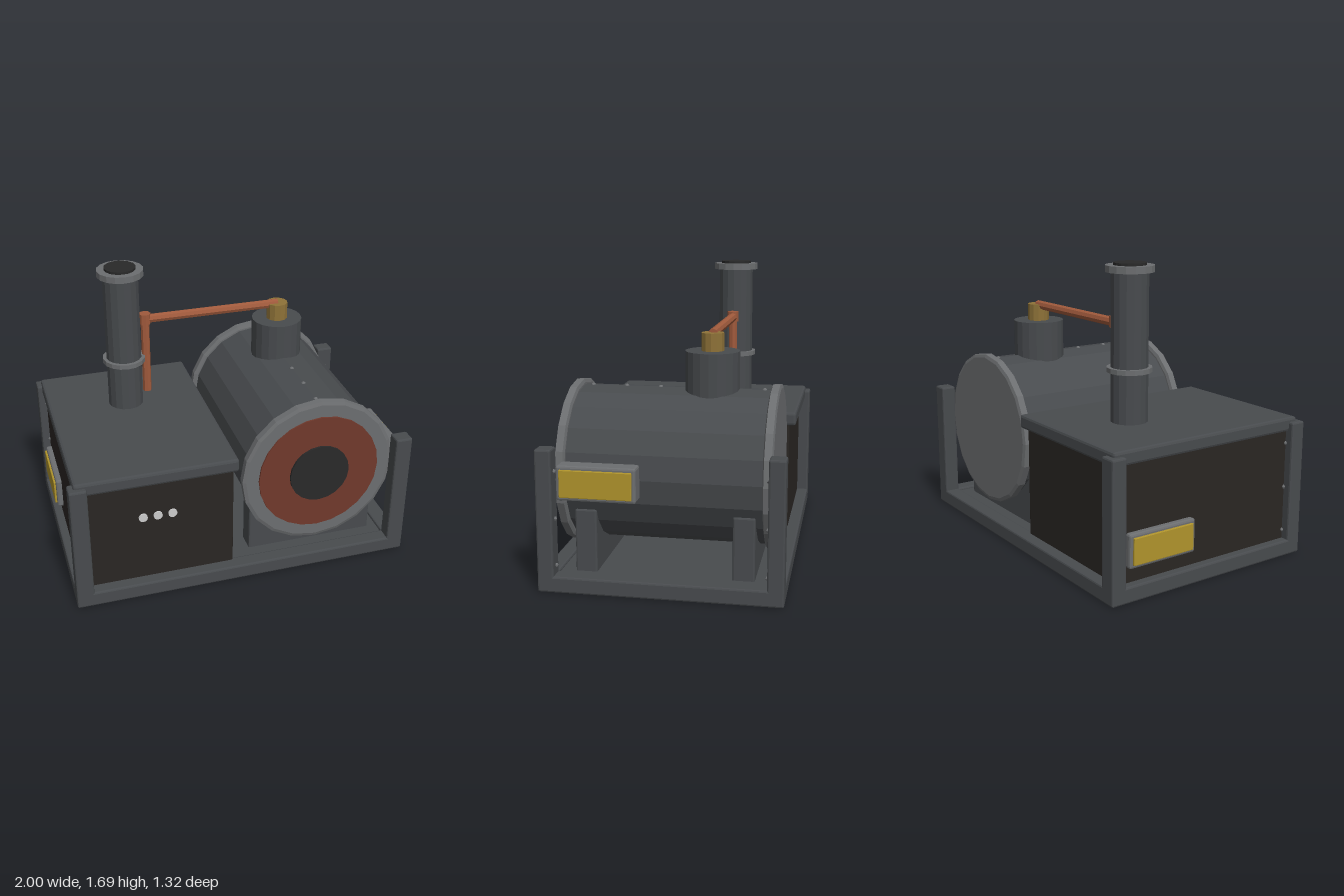
import * as THREE from 'three';
import { RoundedBoxGeometry } from 'three/addons/geometries/RoundedBoxGeometry.js';

const paint = (color) => new THREE.MeshStandardMaterial({ color, flatShading: true });
const iron = paint(0x484b4e), steel = paint(0x6c6e70), dark = paint(0x2a2623), black = paint(0x292929);
const copper = paint(0xa05a3c), brass = paint(0x8e7238), red = paint(0x71392c);
const yellow = paint(0xb0942c), lampWhite = paint(0xcccccc);

export function createModel() {
  const model = new THREE.Group();

  const add = (name, geometry, material, x = 0, y = 0, z = 0) => {
    const mesh = new THREE.Mesh(geometry, material);
    mesh.name = name;
    mesh.position.set(x, y, z);
    model.add(mesh);
    return mesh;
  };
  // Bevelled box given by its limits on each axis
  const box = (name, material, [x0, x1], [y0, y1], [z0, z1], bevel = 0.01) =>
    add(name, new RoundedBoxGeometry(x1 - x0, y1 - y0, z1 - z0, 1, bevel), material,
      (x0 + x1) / 2, (y0 + y1) / 2, (z0 + z1) / 2);
  // Upright cylinder between two heights
  const column = (name, material, x, z, r, y0, y1, sides = 16) =>
    add(name, new THREE.CylinderGeometry(r, r, y1 - y0, sides), material, x, (y0 + y1) / 2, z);
  // Cylinder lying along z
  const drum = (name, material, x, y, r, z0, z1, sides = 20) =>
    add(name, new THREE.CylinderGeometry(r, r, z1 - z0, sides).rotateX(Math.PI / 2), material, x, y, (z0 + z1) / 2);

  // Base tray with rails and corner posts
  box('floor', iron, [-0.98, 0.98], [0, 0.075], [-0.64, 0.64]);
  for (const s of [-1, 1]) {
    const zs = s > 0 ? [0.57, 0.66] : [-0.66, -0.57];
    const xs = s > 0 ? [0.9, 1] : [-1, -0.9];
    box('longRail', iron, [-0.99, 0.99], [0, 0.09], zs);
    box('sideRail', iron, xs, [0, 0.09], [-0.65, 0.65]);
    for (const t of [-1, 1]) {
      box('cornerPost', iron, t > 0 ? [0.9, 1] : [-1, -0.9], [0, 0.785], zs);
      for (const y of [0.14, 0.4, 0.66])
        add('postBolt', new THREE.SphereGeometry(0.012, 6, 4), steel, t * 0.95, y, s * 0.568);
    }
  }

  // Cabinet, lid and indicator lamps
  box('cabinet', dark, [-0.95, -0.06], [0.06, 0.74], [-0.59, 0.59]);
  box('cabinetLid', iron, [-0.97, -0.04], [0.73, 0.81], [-0.63, 0.63], 0.015);
  for (const x of [-0.59, -0.505, -0.42])
    drum('indicatorLamp', lampWhite, x, 0.505, 0.026, 0.57, 0.6, 12);

  // Boiler barrel, end flanges and firebox door
  const bx = 0.455, by = 0.61;
  drum('boilerBarrel', iron, bx, by, 0.43, -0.56, 0.56);
  const rim = [[0, -0.027], [0.44, -0.027], [0.46, -0.02], [0.46, 0.02], [0.44, 0.027], [0, 0.027]]
    .map(([r, h]) => new THREE.Vector2(r, h));
  for (const z of [-0.555, 0.555])
    add('boilerFlange', new THREE.LatheGeometry(rim, 20).rotateX(Math.PI / 2), steel, bx, by, z);
  drum('fireboxPlate', red, bx, by, 0.365, 0.57, 0.592, 24);
  drum('fireboxDoor', black, bx, by, 0.18, 0.58, 0.605, 20);
  for (let i = 0; i < 6; i++)
    add('boilerRivet', new THREE.SphereGeometry(0.014, 8, 6), steel, bx, 1.035, -0.49 + i * 0.194);

  // Saddles under the boiler
  for (const z of [-0.43, 0.43])
    box('boilerSaddle', iron, [0.07, 0.845], [0.06, 0.425], [z - 0.06, z + 0.06]);

  // Steam dome and valve
  column('steamDome', iron, bx, -0.2, 0.152, 0.95, 1.25, 20);
  column('steamValve', brass, bx, -0.2, 0.064, 1.25, 1.35, 12);

  // Chimney with band, rim and dark mouth
  const cx = -0.505;
  column('chimney', iron, cx, -0.2, 0.105, 0.79, 1.65);
  column('chimneyBand', steel, cx, -0.2, 0.127, 1.09, 1.117);
  column('chimneyRim', steel, cx, -0.2, 0.136, 1.635, 1.672);
  column('chimneyMouth', black, cx, -0.2, 0.092, 1.64, 1.686);

  // Copper steam pipe with elbow
  add('steamPipe', new THREE.CylinderGeometry(0.027, 0.027, 0.82, 8).rotateZ(Math.PI / 2), copper, 0.045, 1.343, -0.2);
  column('downPipe', copper, -0.37, -0.2, 0.026, 0.87, 1.35, 8);
  column('pipeElbow', copper, -0.37, -0.2, 0.035, 1.315, 1.378, 8);

  // Side lamps: housing, raised frame and yellow lens
  const sideLamp = (s, y, z) => {
    const span = (a, b) => (s > 0 ? [a, b] : [-b, -a]);
    box('lampHousing', steel, span(0.88, 0.985), [y - 0.095, y + 0.095], [z - 0.215, z + 0.215], 0.012);
    box('lampLens', yellow, span(0.97, 0.997), [y - 0.075, y + 0.075], [z - 0.195, z + 0.195], 0.004);
  };
  sideLamp(1, 0.605, 0.335);
  sideLamp(-1, 0.27, -0.325);

  return model;
}
